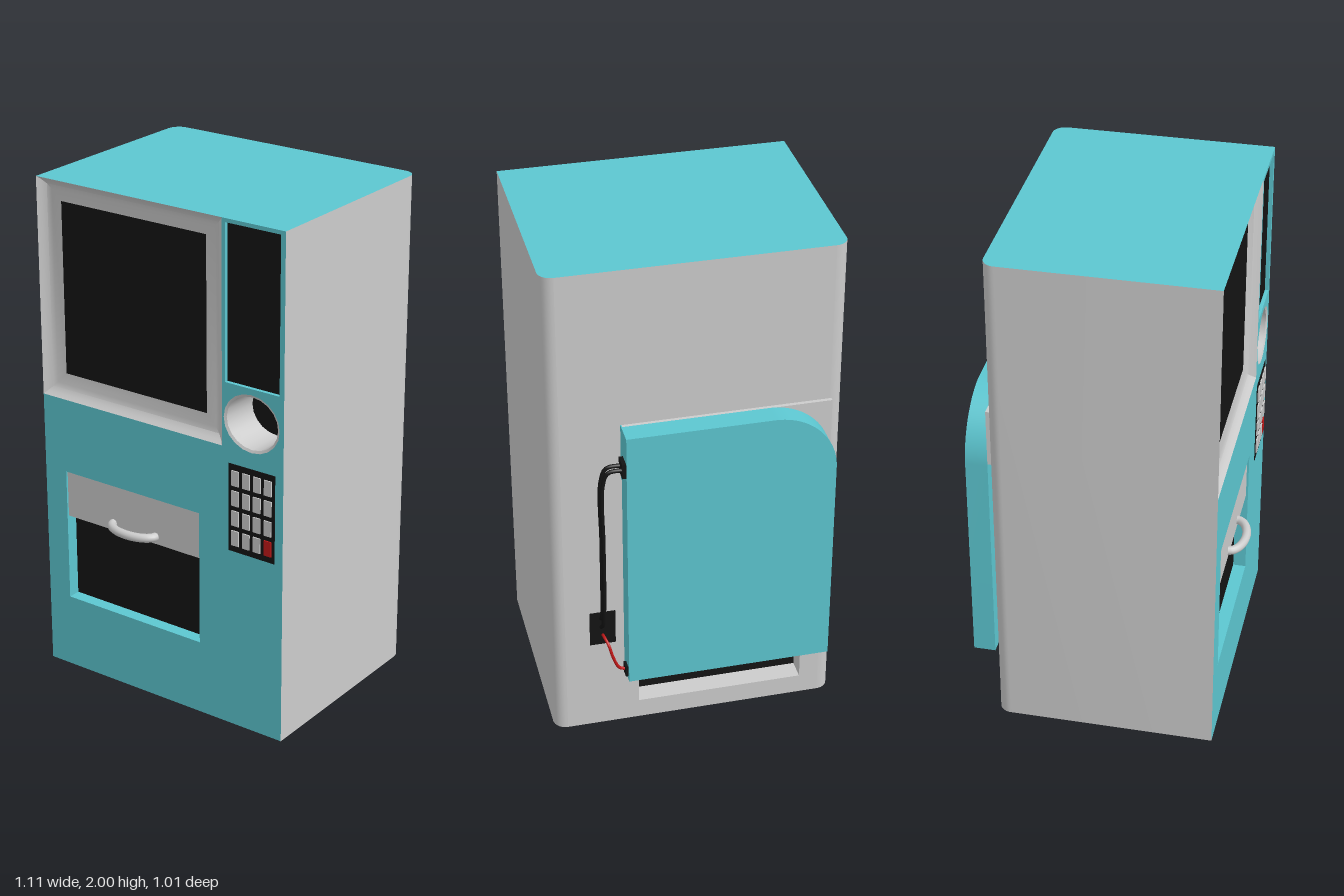
import * as THREE from 'three';
import { toCreasedNormals } from 'three/addons/utils/BufferGeometryUtils.js';

const paint = (color) => new THREE.MeshStandardMaterial({ color, side: THREE.DoubleSide });
const GREY = paint(0xcccccc), TEAL = paint(0x5cc6d0), BLACK = paint(0x141414), RED = paint(0xc01818);
const W = 0.555, H = 2, FRONT = 0.445, BACK = -0.405, R = 0.05;

// Surface through a list of rings with equal point counts
function loft(rings, crease = 0.7) {
  const n = rings[0].length, index = [];
  for (let i = 0; i < rings.length - 1; i++)
    for (let j = 0; j < n - 1; j++) {
      const a = i * n + j, b = a + 1, c = a + n, d = c + 1;
      index.push(a, b, d, a, d, c);
    }
  const g = new THREE.BufferGeometry();
  g.setAttribute('position', new THREE.Float32BufferAttribute(rings.flat(2), 3));
  g.setIndex(index);
  return toCreasedNormals(g, crease);
}

// Closed rectangle and ellipse rings at depth z
const rectRing = (x0, x1, y0, y1, z) =>
  [[x0, y0, z], [x1, y0, z], [x1, y1, z], [x0, y1, z], [x0, y0, z]];
function ovalRing(cx, cy, rx, ry, z, sides = 20) {
  const ring = [];
  for (let i = 0; i <= sides; i++) {
    const a = (i / sides) * Math.PI * 2;
    ring.push([cx + rx * Math.cos(a), cy + ry * Math.sin(a), z]);
  }
  return ring;
}
const shapeOf = (pts) => new THREE.Shape(pts.map(([x, y]) => new THREE.Vector2(x, y)));
const holeOf = (ring) => new THREE.Path(ring.map(([x, y]) => new THREE.Vector2(x, y)));

export function createModel() {
  const model = new THREE.Group();
  const add = (name, geometry, material, parent = model) => {
    const mesh = new THREE.Mesh(geometry, material);
    mesh.name = name;
    parent.add(mesh);
    return mesh;
  };
  // Box given by its limits
  const box = (name, x0, x1, y0, y1, z0, z1, material, parent) =>
    add(name, new THREE.BoxGeometry(x1 - x0, y1 - y0, z1 - z0), material, parent)
      .position.set((x0 + x1) / 2, (y0 + y1) / 2, (z0 + z1) / 2);
  // Flat rectangle at depth z
  const plate = (name, x0, x1, y0, y1, z, material) =>
    add(name, new THREE.PlaneGeometry(x1 - x0, y1 - y0), material)
      .position.set((x0 + x1) / 2, (y0 + y1) / 2, z);

  // Cabinet sides with rounded back edges
  const sideProfile = [[W, FRONT]];
  for (let i = 0; i <= 8; i++) {
    const a = (i / 8) * Math.PI / 2;
    sideProfile.push([W - R + R * Math.cos(a), BACK + R - R * Math.sin(a)]);
  }
  for (const [name, s] of [['leftSide', 1], ['rightSide', -1]])
    add(name, loft([0, H].map((y) => sideProfile.map(([x, z]) => [s * x, y, z]))), GREY);

  // Top and bottom covers
  const outline = [...sideProfile, ...sideProfile.map(([x, z]) => [-x, z]).reverse()];
  for (const [name, y] of [['bottomCover', 0], ['topCover', H]]) {
    const g = new THREE.ShapeGeometry(shapeOf(outline)).rotateX(Math.PI / 2);
    if (y) g.scale(1, -1, 1);
    add(name, g, TEAL).position.y = y;
  }

  // Front face with its openings
  const hatch = [-0.455, 0.18, 0.3, 0.84];
  const display = [0.3, 0.535, 1.39, 1.985];
  const oval = [0.415, 1.255, 0.122, 0.112];
  const front = shapeOf([[-W, 0], [W, 0], [W, H], [0.285, H], [0.285, 1.14], [-W, 1.14]]);
  front.holes.push(holeOf(rectRing(...hatch, 0)), holeOf(rectRing(...display, 0)), holeOf(ovalRing(...oval, 0)));
  add('frontFace', new THREE.ShapeGeometry(front), TEAL).position.z = FRONT;

  // Screen in a coved bezel
  const screen = [-0.47, 0.19, 1.23, 1.91];
  const cove = [[0, 0], [0.012, 0.014], [0.028, 0.027], [0.045, 0.034], [0.085, 0.038]];
  add('screenBezel', loft(cove.map(([inset, depth]) => {
    const t = inset / 0.085, mix = (a, b) => a + (b - a) * t;
    return rectRing(mix(-W, screen[0]), mix(0.285, screen[1]), mix(1.14, screen[2]), mix(H, screen[3]), FRONT - depth);
  })), GREY);
  plate('screen', ...screen, FRONT - 0.038, BLACK);

  // Narrow side display
  add('displayRecess', loft([rectRing(...display, FRONT), rectRing(...display, FRONT - 0.015)]), TEAL);
  plate('sideDisplay', ...display, FRONT - 0.015, BLACK);

  // Oval pickup tunnel
  const [ox, oy, rx, ry] = oval;
  add('ovalTunnel', loft([
    ovalRing(ox, oy, rx, ry, FRONT),
    ovalRing(ox, oy, rx - 0.01, ry - 0.01, FRONT - 0.005),
    ovalRing(ox, oy, rx - 0.013, ry - 0.013, FRONT - 0.16)]), GREY);
  add('ovalTunnelEnd', new THREE.CircleGeometry(1, 20).scale(rx - 0.013, ry - 0.013, 1), BLACK)
    .position.set(ox, oy, FRONT - 0.16);

  // Keypad
  const keypad = new THREE.Group();
  keypad.name = 'keypad';
  model.add(keypad);
  box('keypadPlate', 0.315, 0.52, 0.73, 1.08, FRONT - 0.01, FRONT + 0.002, BLACK, keypad);
  for (let row = 0; row < 4; row++)
    for (let col = 0; col < 4; col++) {
      const x = 0.347 + col * 0.048, y = 1.026 - row * 0.08;
      box('key', x - 0.016, x + 0.016, y - 0.03, y + 0.03, FRONT - 0.005, FRONT + 0.007,
        row === 3 && col === 3 ? RED : GREY, keypad);
    }

  // Front hatch with flap and handle
  add('hatchRecess', loft([rectRing(...hatch, FRONT), rectRing(...hatch, FRONT - 0.05)]), TEAL);
  plate('hatchBack', ...hatch, FRONT - 0.05, BLACK);
  box('hatchFlap', hatch[0], hatch[1], 0.65, hatch[3], FRONT - 0.045, FRONT - 0.008, GREY);
  const grip = [];
  for (let i = 0; i <= 12; i++) {
    const a = (i / 12) * Math.PI;
    grip.push(new THREE.Vector3(-0.132 - 0.102 * Math.cos(a), 0.68, FRONT - 0.01 + 0.054 * Math.sin(a)));
  }
  add('hatchHandle', new THREE.TubeGeometry(new THREE.CatmullRomCurve3(grip), 32, 0.017, 12), GREY);

  // Back face with its recess
  const bay = [-0.43, 0.22, 0.08, 0.6];
  const back = shapeOf([[R - W, 0], [W - R, 0], [W - R, H], [R - W, H]]);
  back.holes.push(holeOf(rectRing(...bay, 0)));
  add('backFace', new THREE.ShapeGeometry(back).scale(1, 1, -1), GREY).position.z = BACK;
  add('backRecess', loft([rectRing(...bay, BACK), rectRing(...bay, BACK + 0.08)]), GREY);
  plate('backRecessPanel', ...bay, BACK + 0.08, BLACK);

  // Rear door with one rounded corner, on a mounting block
  const door = new THREE.Shape();
  door.moveTo(-0.51, 0.265);
  door.lineTo(0.28, 0.265);
  door.lineTo(0.28, 1.37);
  door.lineTo(-0.27, 1.37);
  door.absarc(-0.27, 1.13, 0.24, Math.PI / 2, Math.PI, false);
  const doorGeometry = new THREE.ExtrudeGeometry(door, { depth: 0.085, bevelEnabled: false, curveSegments: 16 });
  add('rearDoor', toCreasedNormals(doorGeometry, 0.5), TEAL).position.z = -0.505;
  box('doorMount', -0.51, 0.278, 1.14, 1.369, -0.42, BACK, GREY);
  box('doorMountEnd', 0.276, 0.28, 1.14, 1.37, -0.42, BACK, TEAL);

  // Cables and their sockets
  const cable = (name, pts, radius, material) => add(name, new THREE.TubeGeometry(
    new THREE.CatmullRomCurve3(pts.map((p) => new THREE.Vector3(...p))), 60, radius, 8), material);
  box('upperSocket', 0.275, 0.295, 1.2, 1.26, -0.5, -0.442, BLACK);
  box('lowerSocket', 0.275, 0.29, 0.28, 0.325, -0.49, -0.452, BLACK);
  box('wallSocket', 0.31, 0.41, 0.39, 0.54, BACK - 0.003, BACK + 0.01, BLACK);
  cable('innerCable', [[0.28, 1.23, -0.455], [0.345, 1.225, -0.455], [0.365, 1.17, -0.452], [0.366, 0.9, -0.45],
    [0.366, 0.64, -0.445], [0.365, 0.54, -0.428], [0.365, 0.505, -0.4]], 0.008, BLACK);
  cable('outerCable', [[0.28, 1.23, -0.487], [0.345, 1.225, -0.487], [0.365, 1.17, -0.486], [0.366, 0.9, -0.485],
    [0.366, 0.64, -0.478], [0.365, 0.51, -0.445], [0.365, 0.465, -0.4]], 0.008, BLACK);
  cable('redCable', [[0.36, 0.43, -0.4], [0.36, 0.442, -0.435], [0.35, 0.425, -0.465], [0.335, 0.37, -0.475],
    [0.31, 0.315, -0.473], [0.28, 0.303, -0.471]], 0.006, RED);

  return model;
}
